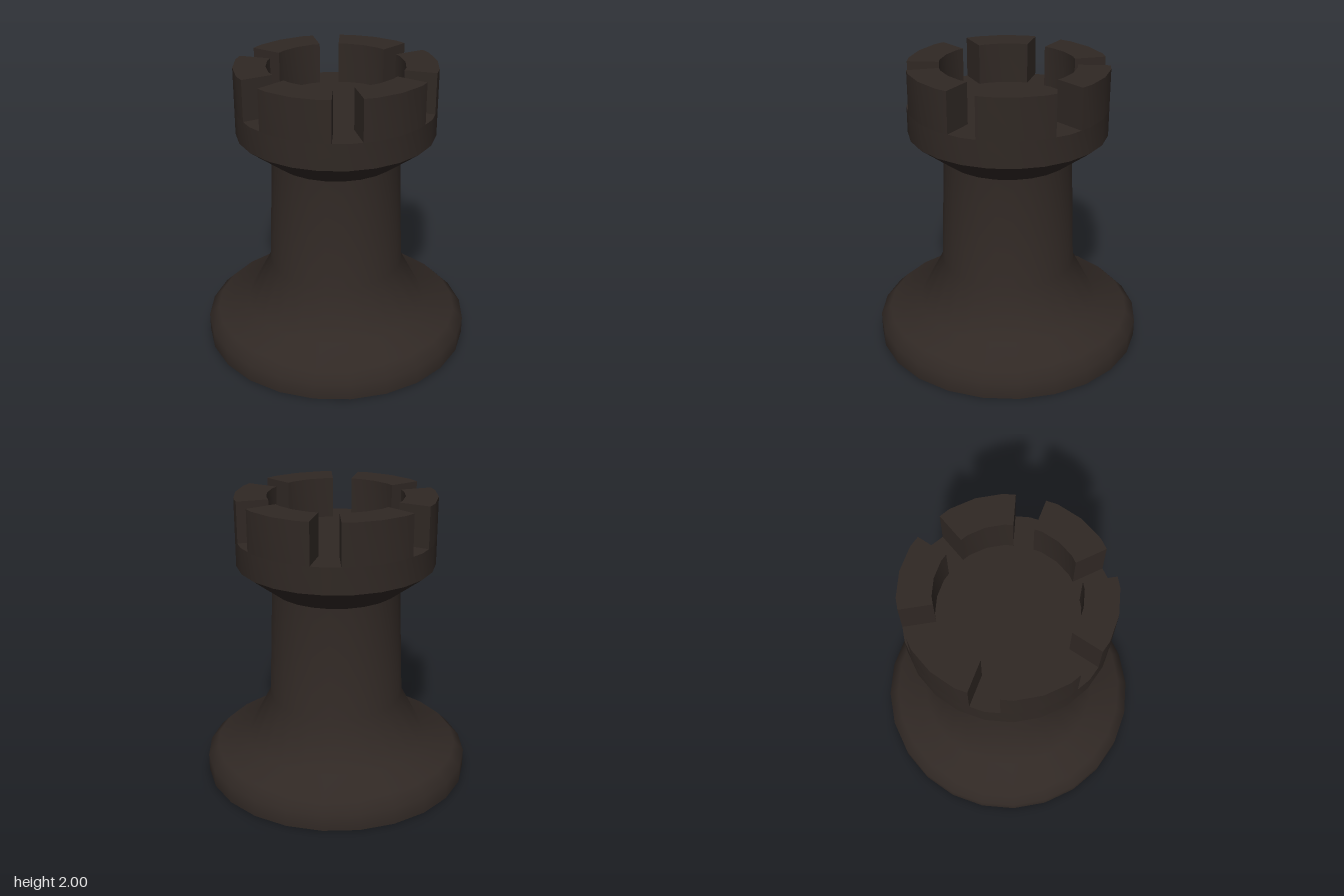
import * as THREE from 'three';
import { toCreasedNormals } from 'three/addons/utils/BufferGeometryUtils.js';

const SIDES = 24;
const FLOOR = 1.72, TOP = 2;
const OUTER = 0.675, INNER = 0.46;
const rad = THREE.MathUtils.degToRad;

// Point on a 24-sided ring, angle in degrees from the middle of a side-pair
function ringPoint(radius, deg) {
  const step = 360 / SIDES;
  const off = deg - step * Math.floor(deg / step) - step / 2;
  const r = radius * Math.cos(rad(step / 2)) / Math.cos(rad(off));
  return new THREE.Vector2(r * Math.sin(rad(deg)), -r * Math.cos(rad(deg)));
}

export function createModel() {
  const group = new THREE.Group();
  group.name = 'rook';
  const material = new THREE.MeshStandardMaterial({ color: 0x302824 });

  // Turned body: foot, flare, column, collar and crown floor
  const profile = [
    [0, 0], [0.93, 0], [0.93, 0.12], [0.86, 0.19], [0.64, 0.245], [0.47, 0.57],
    [0.44, 1.36], [OUTER, 1.54], [OUTER, FLOOR], [0, FLOOR],
  ].map(([x, y]) => new THREE.Vector2(x, y));
  const body = new THREE.Mesh(
    toCreasedNormals(new THREE.LatheGeometry(profile, SIDES), rad(50)), material);
  body.name = 'body';
  group.add(body);

  // Six battlements standing on the crown floor
  const angles = [-21.7, -15, 0, 15, 21.7];
  const outline = [
    ...angles.map((a) => ringPoint(OUTER, a)),
    ...angles.map((a) => ringPoint(INNER, a)).reverse(),
  ];
  const wall = new THREE.ExtrudeGeometry(new THREE.Shape(outline), {
    depth: TOP - FLOOR, bevelEnabled: false,
  });
  wall.rotateX(-Math.PI / 2);
  wall.translate(0, FLOOR, 0);
  const battlementGeometry = toCreasedNormals(wall, rad(35));

  const battlements = new THREE.Group();
  battlements.name = 'battlements';
  for (let i = 0; i < 6; i++) {
    const battlement = new THREE.Mesh(battlementGeometry, material);
    battlement.name = `battlement${i + 1}`;
    battlement.rotation.y = i * Math.PI / 3;
    battlements.add(battlement);
  }
  group.add(battlements);

  return group;
}
